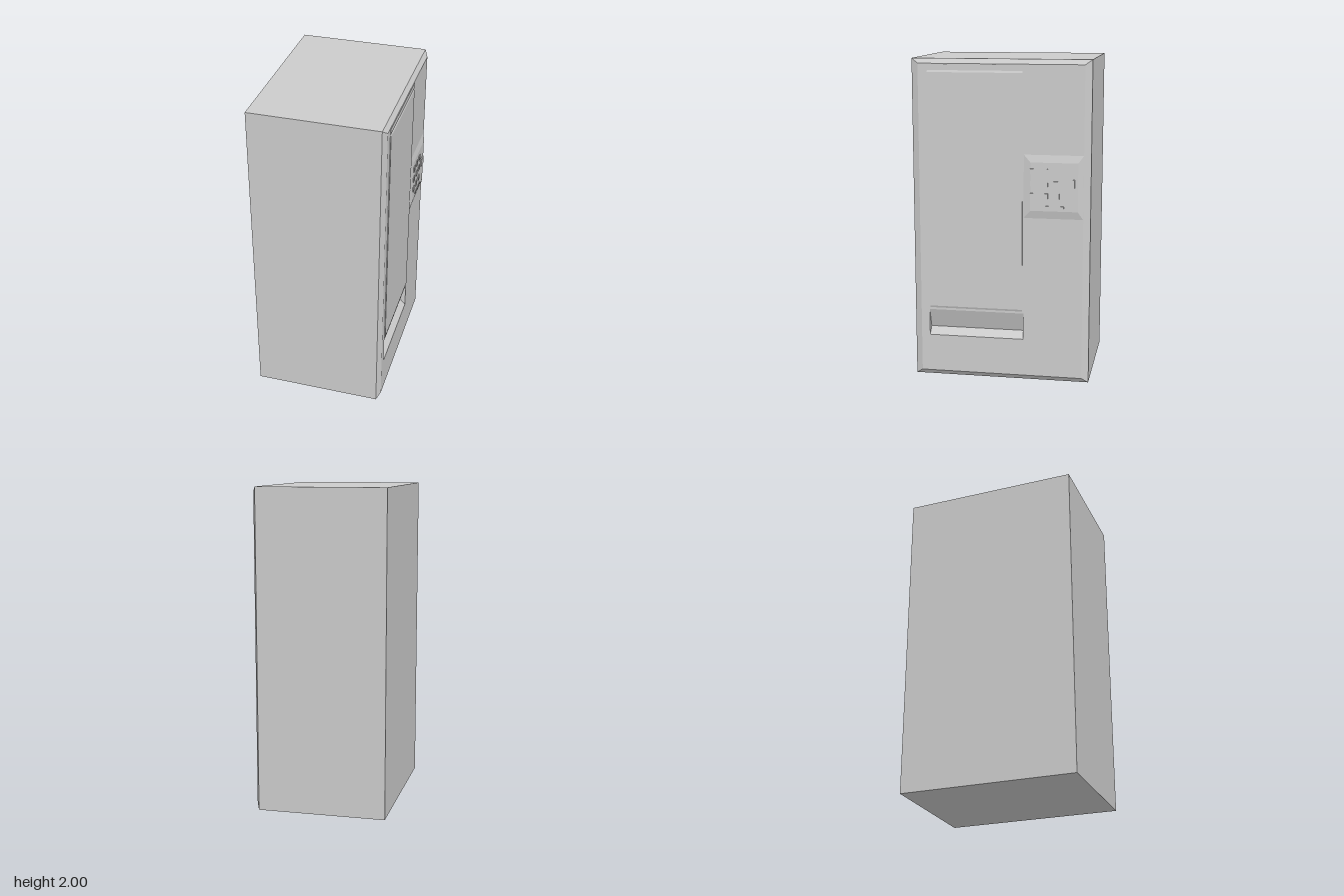
import * as THREE from 'three';

const mat = new THREE.MeshStandardMaterial({ color: 0xcccccc, flatShading: true, side: THREE.DoubleSide });

// Geometry from a list of quads or triangles, corners anticlockwise
function faces(list) {
  const pos = [];
  for (const f of list)
    for (let i = 1; i < f.length - 1; i++) pos.push(...f[0], ...f[i], ...f[i + 1]);
  const g = new THREE.BufferGeometry();
  g.setAttribute('position', new THREE.Float32BufferAttribute(pos, 3));
  g.computeVertexNormals();
  return g;
}

// Skin through rectangles [x0, x1, y0, y1, z], ordered back to front
function loft(rects, capBack, capFront) {
  const rings = rects.map(([x0, x1, y0, y1, z]) => [[x0, y0, z], [x1, y0, z], [x1, y1, z], [x0, y1, z]]);
  const list = [];
  for (let k = 0; k < rings.length - 1; k++)
    for (let i = 0; i < 4; i++) {
      const j = (i + 1) % 4;
      list.push([rings[k][i], rings[k][j], rings[k + 1][j], rings[k + 1][i]]);
    }
  if (capBack) list.push([...rings[0]].reverse());
  if (capFront) list.push(rings[rings.length - 1]);
  return faces(list);
}

export function createModel() {
  const root = new THREE.Group();
  const machine = new THREE.Group();
  machine.name = 'vendingMachine';
  machine.rotation.y = Math.PI / 2; // built facing +z, turned to face +x
  root.add(machine);

  const add = (name, geo, parent = machine) => {
    const m = new THREE.Mesh(geo, mat);
    m.name = name;
    parent.add(m);
    return m;
  };
  const box = (name, x0, x1, y0, y1, z0, z1, parent) =>
    add(name, loft([[x0, x1, y0, y1, z0], [x0, x1, y0, y1, z1]], true, true), parent);

  const F = 0.402; // plane of the front panel

  // Cabinet with a bevelled front edge
  add('cabinet', loft([
    [-0.55, 0.55, 0, 2, -0.42],
    [-0.55, 0.55, 0, 2, 0.38],
    [-0.508, 0.508, 0.03, 1.97, F],
  ], true, false));

  // Front panel with the delivery opening cut out
  const L = -0.455, R = 0.142, T = 0.432, M = 0.31, B = 0.265, D = 0.36;
  const rect = (path, x0, x1, y0, y1) =>
    path.moveTo(x0, y0).lineTo(x1, y0).lineTo(x1, y1).lineTo(x0, y1).closePath();
  const shape = rect(new THREE.Shape(), -0.508, 0.508, 0.03, 1.97);
  shape.holes.push(rect(new THREE.Path(), L, R, B, T));
  add('frontPanel', new THREE.ShapeGeometry(shape).translate(0, 0, F));

  // Delivery tray: inward sloping flap, sill and triangular ends
  add('deliveryTray', faces([
    [[L, M, D], [R, M, D], [R, T, F], [L, T, F]],
    [[L, B, F], [R, B, F], [R, M, D], [L, M, D]],
    [[L, B, F], [L, M, D], [L, T, F]],
    [[R, B, F], [R, T, F], [R, M, D]],
  ]));

  // Display window and the header strip above it
  add('displayWindow', loft([
    [-0.45, 0.135, 0.445, 1.93, F],
    [-0.45, 0.135, 0.457, 1.918, 0.407],
  ], false, true));
  box('windowHeader', -0.45, 0.135, 1.934, 1.968, F, 0.406);

  // Raised control panel
  const control = new THREE.Group();
  control.name = 'controlPanel';
  machine.add(control);
  add('controlPlate', loft([
    [0.143, 0.507, 1.04, 1.43, F],
    [0.185, 0.475, 1.088, 1.385, 0.413],
  ], false, true), control);

  // Keypad buttons
  for (const x of [0.2, 0.275, 0.345])
    for (const y of [1.18, 1.255, 1.33])
      box('button', x - 0.017, x + 0.017, y - 0.017, y + 0.017, 0.412, 0.418, control);

  // Coin acceptor with its slot, and the note bar below
  box('coinAcceptor', 0.4, 0.455, 1.23, 1.285, 0.412, 0.42, control);
  box('coinSlot', 0.424, 0.431, 1.242, 1.273, 0.419, 0.421, control);
  box('noteBar', 0.25, 0.39, 1.108, 1.12, 0.412, 0.416, control);

  return root;
}
